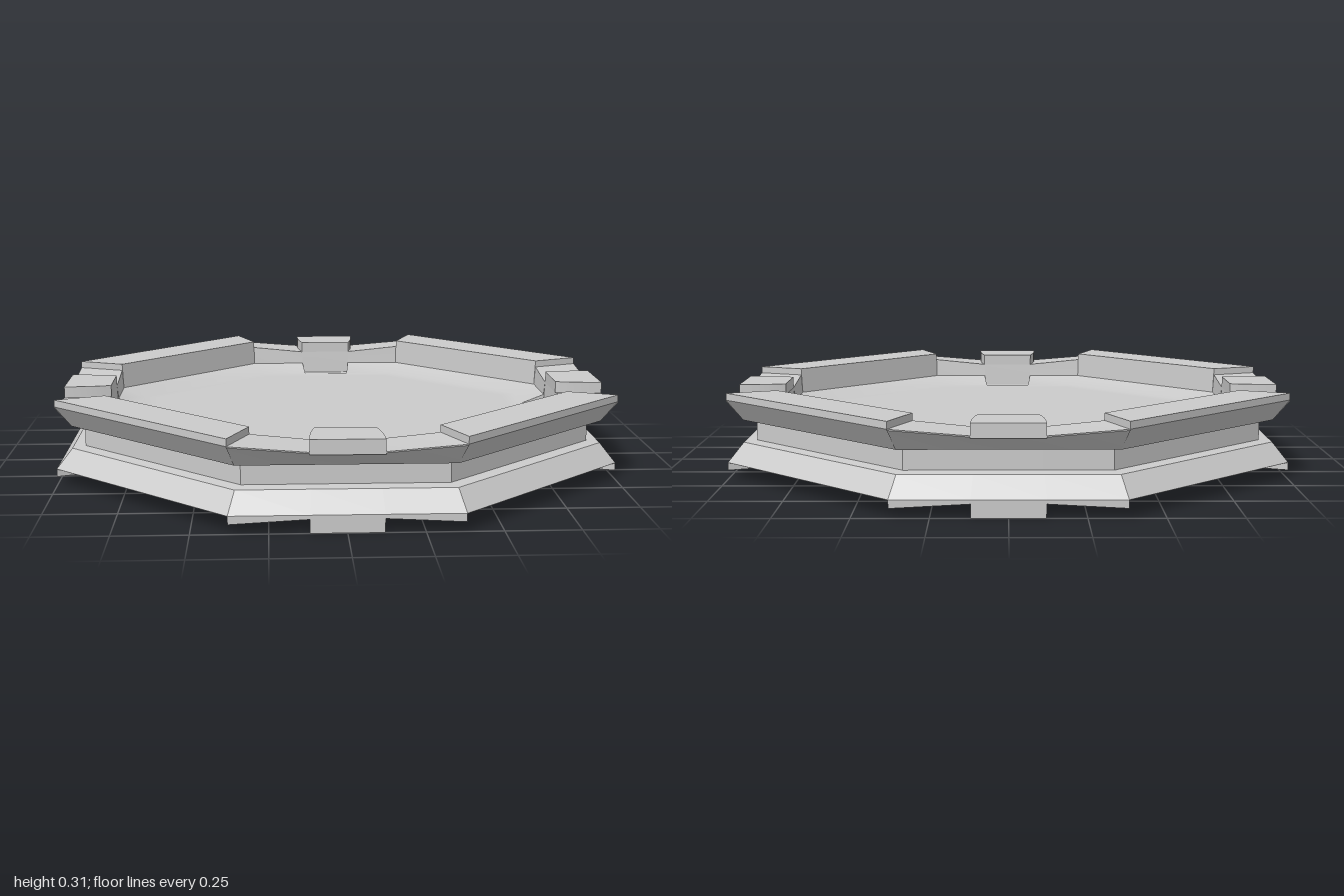
import * as THREE from 'three';
import { mergeGeometries, toCreasedNormals } from 'three/addons/utils/BufferGeometryUtils.js';

const material = new THREE.MeshStandardMaterial({ color: 0xcccccc });

// Half length of an axis-facing side, and half width of its middle, at distance a from the centre
const cornerHalf = (a) => 0.38 - 0.41 * (1 - a);
const padHalf = (a) => 0.12 - 0.12 * (1 - a);

// Rim cross-section as [distance, height]; a notch lowers the sloped edge of the floor
function profile(top, bottom, notch = false) {
  return [
    [0.74, 0.185], [0.825, notch ? 0.175 : 0.215],
    [0.83, top], [1, top], [1, Math.min(0.285, top - 0.004)],
    [0.945, 0.21], [0.9, 0.205], [0.9, 0.135], [0.945, 0.13],
    [1, Math.max(0.06, bottom)], [1, bottom - 0.001], [0.83, bottom - 0.001],
    [0.825, notch ? 0.165 : 0.125], [0.74, 0.155],
  ];
}

function fromPoints(points) {
  const g = new THREE.BufferGeometry();
  g.setFromPoints(points);
  return g;
}

// Solid between two cross-sections, closed at both ends
function loft(profA, placeA, profB, placeB) {
  const A = profA.map(placeA), B = profB.map(placeB);
  const out = [];
  A.forEach((p, i) => {
    const j = (i + 1) % A.length;
    out.push(p, A[j], B[j], p, B[j], B[i]);
  });
  for (const [prof, pts, isEnd] of [[profA, A, false], [profB, B, true]]) {
    const flat = prof.map(([a, y]) => new THREE.Vector2(a, y));
    for (const [i, j, k] of THREE.ShapeUtils.triangulateShape(flat, [])) {
      const ccw = THREE.ShapeUtils.area([flat[i], flat[j], flat[k]]) > 0;
      out.push(pts[i], ...(ccw !== isEnd ? [pts[j], pts[k]] : [pts[k], pts[j]]));
    }
  }
  return fromPoints(out);
}

// Placement of a cross-section on the +z side, or on the +x side's near corner
const onSide = (half, sign) => ([a, y]) => new THREE.Vector3(sign * half(a), y, a);
const onNext = ([a, y]) => new THREE.Vector3(a, y, cornerHalf(a));

// Octagonal sheet with an inset loop that keeps its middle flat
function sheet(y, up) {
  const loop = (a) => Array.from({ length: 8 }, (_, i) =>
    onSide(cornerHalf, i % 2 ? 1 : -1)([a, y])
      .applyAxisAngle(new THREE.Vector3(0, 1, 0), Math.floor(i / 2) * Math.PI / 2));
  const outer = loop(0.74), inner = loop(0.68), centre = new THREE.Vector3(0, y, 0);
  const out = [];
  const tri = (p, q, r) => out.push(...(up ? [p, q, r] : [p, r, q]));
  for (let i = 0; i < 8; i++) {
    const j = (i + 1) % 8;
    tri(centre, inner[i], inner[j]);
    tri(inner[i], outer[i], outer[j]);
    tri(inner[i], outer[j], inner[j]);
  }
  return fromPoints(out);
}

// Raised block with curved flanks, narrowing inwards
function padGeometry(top, height) {
  const s = new THREE.Shape();
  s.moveTo(-0.12, 1);
  s.lineTo(0.12, 1);
  s.quadraticCurveTo(0.12, 0.9, 0.1, 0.83);
  s.lineTo(-0.1, 0.83);
  s.quadraticCurveTo(-0.12, 0.9, -0.12, 1);
  const g = new THREE.ExtrudeGeometry(s, { depth: height, bevelEnabled: false, curveSegments: 6 });
  g.rotateX(Math.PI / 2);
  g.translate(0, top, 0);
  return toCreasedNormals(g, 0.5);
}

export function createModel() {
  const group = new THREE.Group();

  const slab = profile(0.31, 0.06);       // thick diagonal section
  const wingEnd = profile(0.285, 0.033);  // axis side at its corner
  const wingMid = profile(0.264, 0.047);  // axis side beside the pad
  const middle = profile(0.264, 0.047, true);

  const quarter = [
    loft(wingEnd, onSide(cornerHalf, -1), wingMid, onSide(padHalf, -1)),
    loft(middle, onSide(padHalf, -1), middle, onSide(padHalf, 1)),
    loft(wingMid, onSide(padHalf, 1), wingEnd, onSide(cornerHalf, 1)),
    loft(slab, onSide(cornerHalf, 1), slab, onNext),
  ];

  // Tray: four rim quarters and the floor, with soft floor edges
  const parts = [sheet(0.185, true), sheet(0.155, false)];
  for (let k = 0; k < 4; k++) {
    for (const g of quarter) parts.push(g.clone().rotateY(k * Math.PI / 2));
  }
  const tray = new THREE.Mesh(toCreasedNormals(mergeGeometries(parts), 0.5), material);
  tray.name = 'octagonalTray';
  group.add(tray);

  // Pads above and feet below the middle of each axis side
  const upper = padGeometry(0.305, 0.05), lower = padGeometry(0.06, 0.06);
  for (let k = 0; k < 4; k++) {
    for (const [name, geometry] of [['upperPad', upper], ['foot', lower]]) {
      const mesh = new THREE.Mesh(geometry, material);
      mesh.name = name;
      mesh.rotation.y = k * Math.PI / 2;
      group.add(mesh);
    }
  }
  return group;
}
